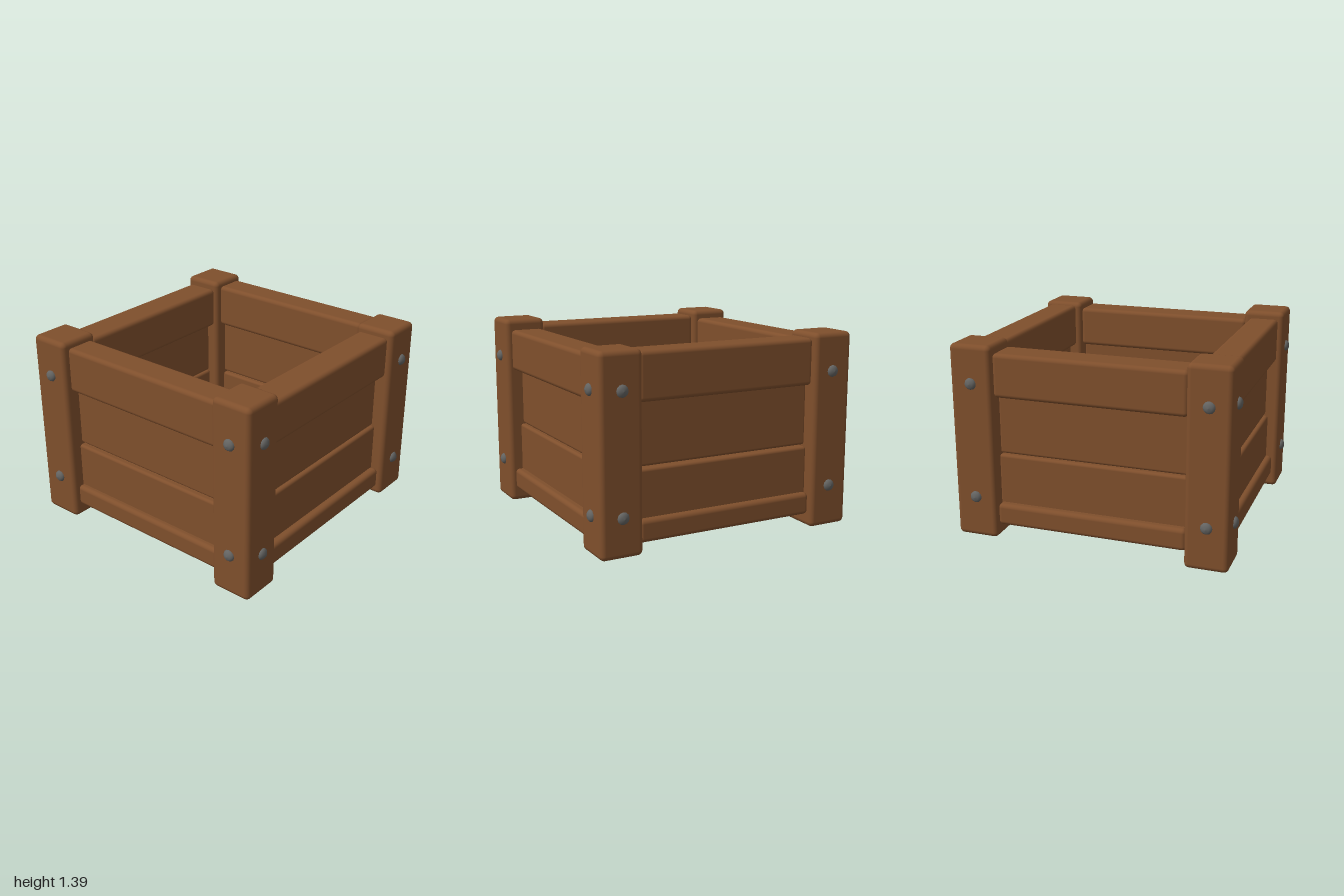
import * as THREE from 'three';
import { RoundedBoxGeometry } from 'three/addons/geometries/RoundedBoxGeometry.js';

const wood = new THREE.MeshStandardMaterial({ color: 0x7f4f2c });
wood.name = 'brown wood';
const metal = new THREE.MeshStandardMaterial({ color: 0x646462 });
metal.name = 'grey metal';

// Rounded timber spanning y0..y1
function timber(name, width, y0, y1, depth, radius, x, z) {
  const mesh = new THREE.Mesh(new RoundedBoxGeometry(width, y1 - y0, depth, 3, radius), wood);
  mesh.name = name;
  mesh.position.set(x, (y0 + y1) / 2, z);
  return mesh;
}

// Domed bolt head, facing +z before rotation
const boltProfile = [[0.046, -0.012], [0.046, 0.003], [0.04, 0.014], [0.025, 0.024], [0, 0.028]]
  .map(([r, y]) => new THREE.Vector2(r, y));
const boltGeometry = new THREE.LatheGeometry(boltProfile, 12).rotateX(Math.PI / 2);
boltGeometry.scale(0.9, 0.9, 1);

function bolt(x, y, z, turn) {
  const mesh = new THREE.Mesh(boltGeometry, metal);
  mesh.name = 'bolt';
  mesh.position.set(x, y, z);
  mesh.rotation.y = turn;
  return mesh;
}

// One wall lying along x and facing +z, stacked from rails and recessed planks
function wall(name, top, gap, railDepth) {
  const group = new THREE.Group();
  group.name = name;
  const length = 1.325;
  group.add(
    timber('topRail', length, 1.02, top, railDepth, 0.03, 0, 0),
    timber('upperPlank', length, 0.59 + gap, 1.04, 0.1, 0.02, 0, -0.005),
    timber('lowerPlank', length, 0.23, 0.58 + gap * 1.5, 0.13, 0.02, 0, 0),
    timber('bottomRail', length, 0.1, 0.255, railDepth, 0.03, 0, 0),
  );
  return group;
}

export function createModel() {
  const model = new THREE.Group();
  model.name = 'woodenCrate';

  // Corner posts, each of slightly different height: x sign, z sign, bottom, top
  const posts = [[1, 1, 0, 1.395], [-1, 1, 0, 1.385], [1, -1, 0.035, 1.365], [-1, -1, 0.01, 1.38]];
  for (const [sx, sz, y0, y1] of posts) {
    model.add(timber('cornerPost', 0.3, y0, y1, 0.3, 0.035, sx * 0.805, sz * 0.82));
    // Two bolts on each outer face
    for (const y of [0.305, 1.115]) {
      model.add(bolt(sx * 0.8, y, sz * 0.97, sz > 0 ? 0 : Math.PI));
      model.add(bolt(sx * 0.953, y, sz * 0.82, sx * Math.PI / 2));
    }
  }

  // Four walls between the posts
  const walls = [
    ['frontWall', 0, 0.82, 0, 1.345, 0, 0.22],
    ['backWall', 0, -0.82, Math.PI, 1.345, 0, 0.22],
    ['leftWall', 0.8, 0, Math.PI / 2, 1.32, 0.015, 0.24],
    ['rightWall', -0.8, 0, -Math.PI / 2, 1.325, 0.015, 0.24],
  ];
  for (const [name, x, z, turn, top, gap, depth] of walls) {
    const side = wall(name, top, gap, depth);
    side.position.set(x, 0, z);
    side.rotation.y = turn;
    // Side walls span a slightly longer opening
    if (x !== 0) side.scale.x = 1.02;
    model.add(side);
  }
  return model;
}
